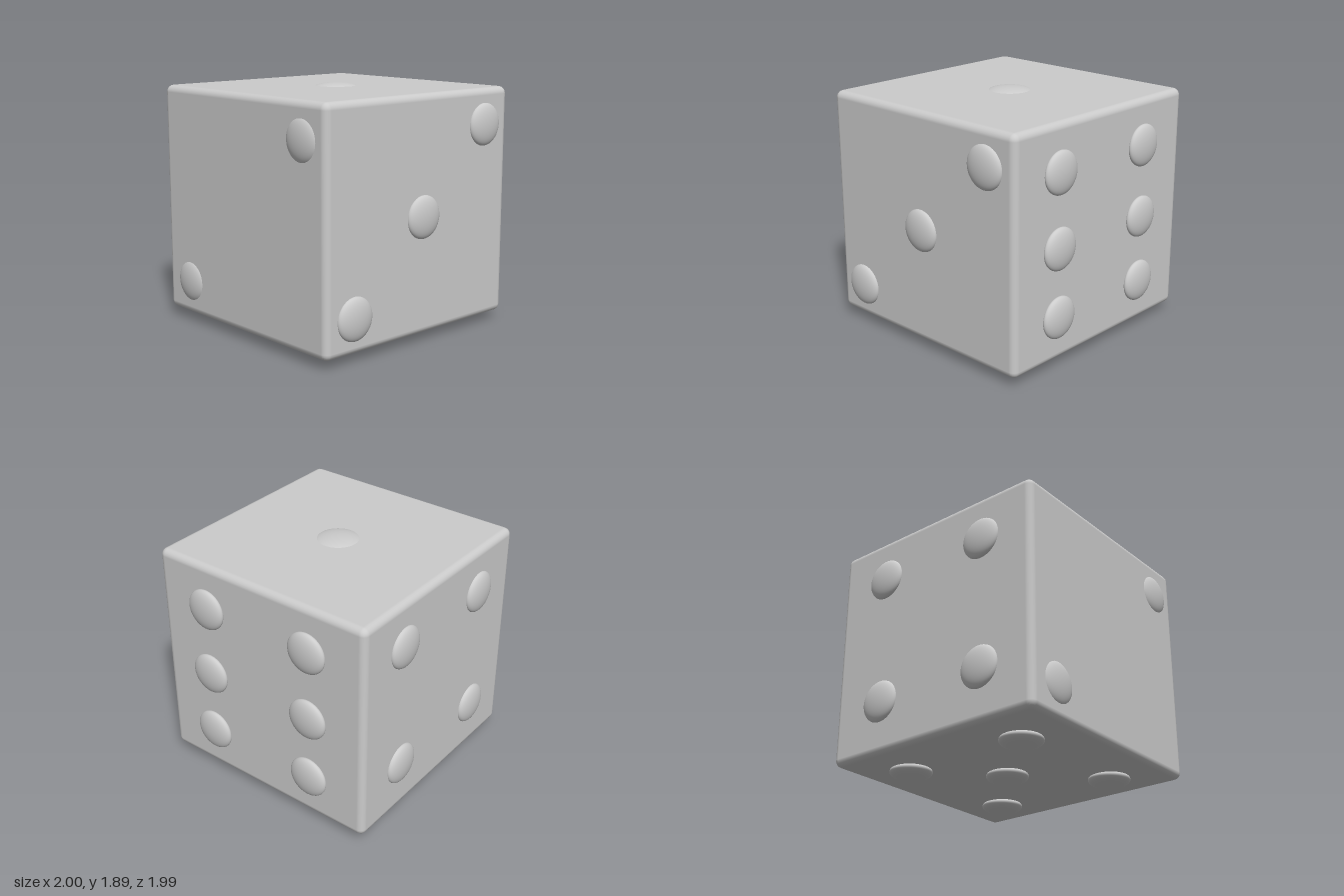
import * as THREE from 'three';
import { RoundedBoxGeometry } from 'three/addons/geometries/RoundedBoxGeometry.js';

export function createModel() {
  const model = new THREE.Group();
  const material = new THREE.MeshStandardMaterial({ color: 0xcccccc });

  // Cube with softly rounded edges
  const body = new THREE.Mesh(new RoundedBoxGeometry(1.89, 1.795, 1.89, 3, 0.055), material);
  body.name = 'body';
  body.position.set(0, 0.967, 0.01);
  model.add(body);

  // Each face: the axis its pips flatten along, pip radius, half thickness, and pip centres
  const faces = [
    { name: 'topPip', axis: 'y', radius: 0.194, depth: 0.055, at: [[0, 1.833, 0]] },
    { name: 'frontPip', axis: 'z', radius: 0.163, depth: 0.055,
      at: [[0.69, 1.59, 0.935], [-0.65, 0.335, 0.935]] },
    { name: 'leftPip', axis: 'x', radius: 0.163, depth: 0.055,
      at: [[0.945, 1.59, -0.66], [0.945, 0.965, 0], [0.945, 0.335, 0.685]] },
    { name: 'rightPip', axis: 'x', radius: 0.163, depth: 0.055,
      at: [1.51, 0.48].flatMap(y => [-0.464, 0.496].map(z => [-0.945, y, z])) },
    { name: 'bottomPip', axis: 'y', radius: 0.163, depth: 0.055,
      at: [[0, 0.055, -0.02], ...[-0.53, 0.552].flatMap(x => [-0.523, 0.536].map(z => [x, 0.055, z]))] },
    { name: 'backPip', axis: 'z', radius: 0.163, depth: 0.055,
      at: [1.51, 0.945, 0.415].flatMap(y => [-0.453, 0.485].map(x => [x, y, -0.945])) },
  ];

  // Raised pips: flattened spheres half sunk into the faces
  const sphere = new THREE.SphereGeometry(1, 48, 32);
  for (const { name, axis, radius, depth, at } of faces) {
    at.forEach((centre, i) => {
      const pip = new THREE.Mesh(sphere, material);
      pip.name = name + (i + 1);
      pip.scale.setScalar(radius);
      pip.scale[axis] = depth;
      pip.position.set(...centre);
      model.add(pip);
    });
  }
  return model;
}
